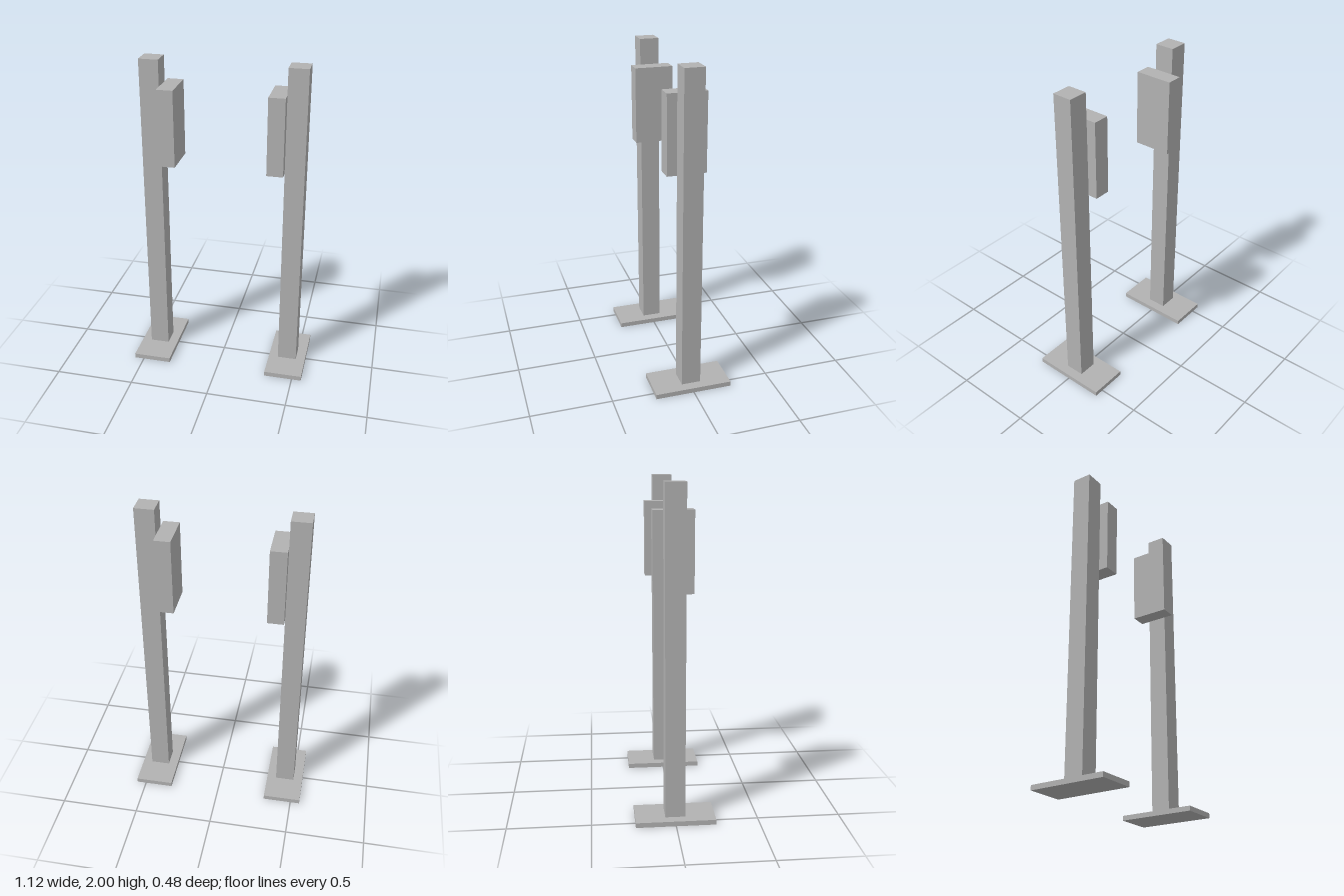
import * as THREE from 'three';

export function createModel() {
  const model = new THREE.Group();
  model.name = 'pairOfPosts';
  const grey = new THREE.MeshStandardMaterial({ color: 0xb2b2b2 });
  grey.name = 'plain grey';

  // Box centred on z = 0, given by its x and y ranges and its depth
  const addBox = (parent, name, [x0, x1], [y0, y1], depth, side) => {
    const mesh = new THREE.Mesh(new THREE.BoxGeometry(x1 - x0, y1 - y0, depth), grey);
    mesh.position.set(side * (x0 + x1) / 2, (y0 + y1) / 2, 0);
    mesh.name = name;
    parent.add(mesh);
  };

  // Two mirrored posts, each with a foot plate and a box facing inwards
  for (const side of [1, -1]) {
    const post = new THREE.Group();
    post.name = side > 0 ? 'leftPost' : 'rightPost';
    addBox(post, 'footPlate', [0.32, 0.56], [0, 0.03], 0.48, side);
    addBox(post, 'column', [0.38, 0.5], [0.03, 2], 0.12, side);
    addBox(post, 'sensorBox', [0.28, 0.38], [1.36, 1.84], 0.24, side);
    model.add(post);
  }
  return model;
}
